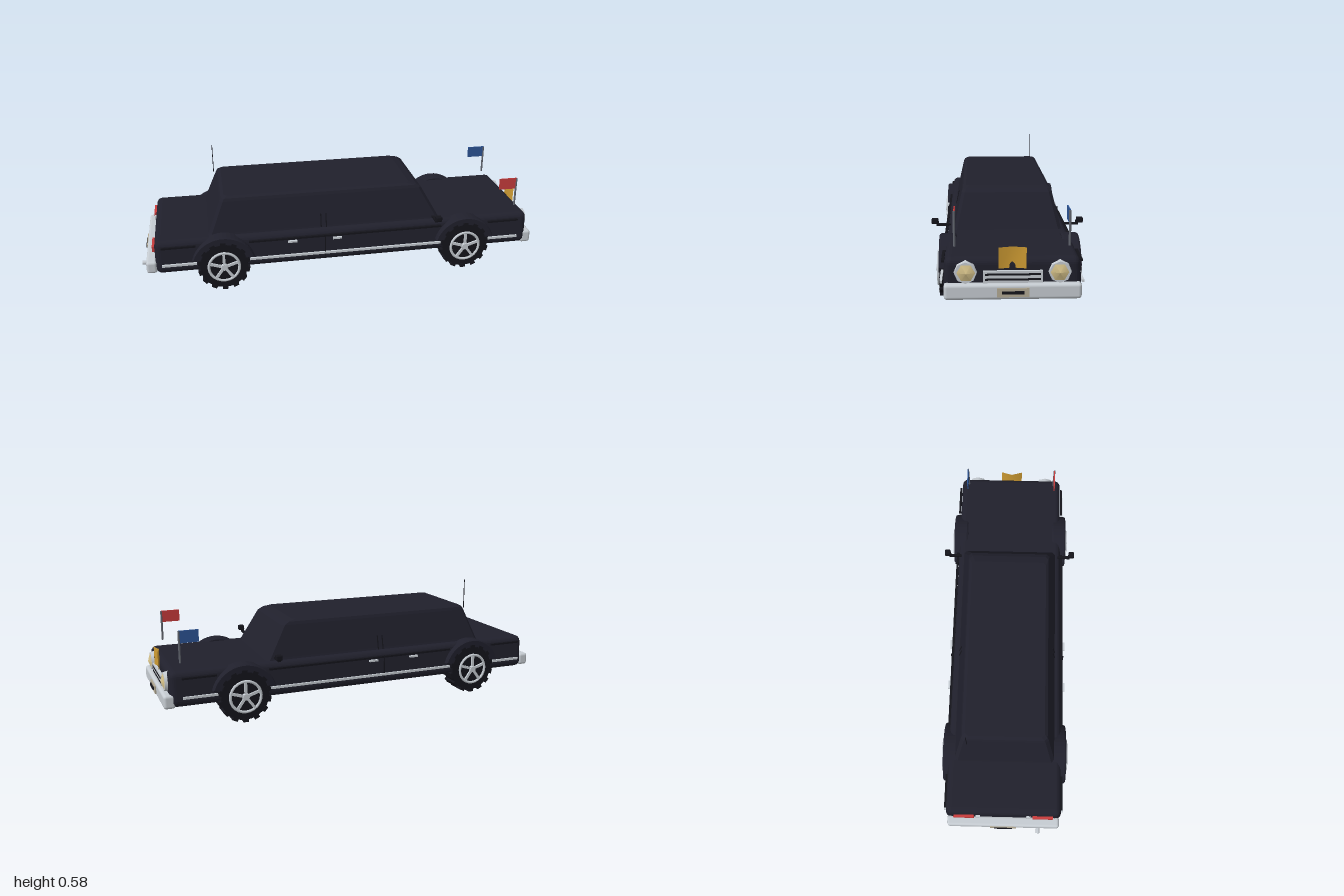
import * as THREE from 'three';
import { RoundedBoxGeometry } from 'three/addons/geometries/RoundedBoxGeometry.js';

const mat = (name, color, extra = {}) => {
  const m = new THREE.MeshStandardMaterial({ color, ...extra });
  m.name = name;
  return m;
};

export function createModel() {
  const car = new THREE.Group();
  car.name = 'limousine';
  const paint = mat('bodyPaint', 0x20202c, { flatShading: true });
  const rubber = mat('blackRubber', 0x14141b);
  const chrome = mat('chrome', 0xc6ccd2);
  const steel = mat('steel', 0x62666f);
  const lens = mat('headlightGlass', 0xd6c28a);
  const gold = mat('gold', 0xcf9c33, { side: THREE.DoubleSide });
  const red = mat('red', 0xc93c3c);
  const blue = mat('blue', 0x2c5496);
  const plateMat = mat('plateMetal', 0xb4ab95);

  const add = (name, geo, m, x = 0, y = 0, z = 0, parent = car) => {
    const mesh = new THREE.Mesh(geo, m);
    mesh.name = name;
    mesh.position.set(x, y, z);
    parent.add(mesh);
    return mesh;
  };
  const box = (name, m, x, y, z, w, h, d, parent) =>
    add(name, new THREE.BoxGeometry(w, h, d), m, x, y, z, parent);

  // Lower body: rounded box, narrowed slightly at the nose, tail and shoulders
  const bodyGeo = new RoundedBoxGeometry(1.885, 0.166, 0.59, 3, 0.03);
  const p = bodyGeo.attributes.position;
  for (let i = 0; i < p.count; i++) {
    let k = 1;
    if (p.getX(i) > 0.9) k *= 0.965;
    if (p.getX(i) < -0.9) k *= 0.985;
    if (p.getY(i) > 0.05) k *= 0.975;
    p.setZ(i, p.getZ(i) * k);
  }
  bodyGeo.computeVertexNormals();
  add('body', bodyGeo, paint, 0.012, 0.183, 0);

  // Cabin: chamfered rectangles stacked upward [y, rear x, front x, half width]
  const levels = [[0.25, -0.68, 0.5, 0.255], [0.275, -0.668, 0.485, 0.247],
    [0.425, -0.607, 0.4, 0.213], [0.439, -0.6, 0.378, 0.207], [0.448, -0.585, 0.34, 0.193]];
  const pos = [], idx = [], c = 0.015;
  for (const [y, a, b, w] of levels) {
    for (const [x, z] of [[a, w - c], [a + c, w], [b - c, w], [b, w - c],
      [b, c - w], [b - c, -w], [a + c, -w], [a, c - w]]) pos.push(x, y, z);
  }
  for (let l = 0; l < levels.length - 1; l++) {
    for (let i = 0; i < 8; i++) {
      const a = l * 8 + i, b = l * 8 + (i + 1) % 8;
      idx.push(a, b, b + 8, a, b + 8, a + 8);
    }
  }
  const top = (levels.length - 1) * 8;
  for (let i = 1; i < 7; i++) idx.push(top, top + i, top + i + 1);
  const cabinGeo = new THREE.BufferGeometry();
  cabinGeo.setAttribute('position', new THREE.Float32BufferAttribute(pos, 3));
  cabinGeo.setIndex(idx);
  cabinGeo.computeVertexNormals();
  add('cabin', cabinGeo, paint);

  // Wheel: tyre, tread blocks, rim ring, hub and five spokes, outer face on +z
  const wheel = (name, x, side) => {
    const g = new THREE.Group();
    g.name = name;
    const tyre = add('tyre', new THREE.CylinderGeometry(0.115, 0.115, 0.09, 24), rubber, 0, 0, 0, g);
    tyre.rotation.x = Math.PI / 2;
    for (let i = 0; i < 14; i++) {
      const a = i / 14 * Math.PI * 2;
      const lug = box('treadBlock', rubber, Math.sin(a) * 0.117, -Math.cos(a) * 0.117, 0, 0.026, 0.018, 0.094, g);
      lug.rotation.z = a;
    }
    add('rimRing', new THREE.TorusGeometry(0.074, 0.007, 6, 24), chrome, 0, 0, 0.051, g);
    add('rimBack', new THREE.CylinderGeometry(0.07, 0.07, 0.006, 20), rubber, 0, 0, 0.045, g).rotation.x = Math.PI / 2;
    add('hub', new THREE.CylinderGeometry(0.016, 0.02, 0.02, 10), chrome, 0, 0, 0.052, g).rotation.x = Math.PI / 2;
    add('innerRim', new THREE.CylinderGeometry(0.065, 0.065, 0.004, 20), steel, 0, 0, -0.046, g).rotation.x = Math.PI / 2;
    for (let i = 0; i < 5; i++) {
      const a = i / 5 * Math.PI * 2 + Math.PI / 2;
      const spoke = box('spoke', chrome, Math.cos(a) * 0.043, Math.sin(a) * 0.043, 0.052, 0.06, 0.013, 0.01, g);
      spoke.rotation.z = a;
    }
    g.position.set(x, 0.126, side * 0.263);
    if (side < 0) g.rotation.y = Math.PI;
    car.add(g);
  };

  // Wheel arch flare: part ring extruded sideways
  const arch = new THREE.Shape();
  arch.absarc(0, 0, 0.152, 0.32, Math.PI - 0.32, false);
  arch.absarc(0, 0, 0.12, Math.PI - 0.32, 0.32, true);
  arch.closePath();
  const archGeo = new THREE.ExtrudeGeometry(arch, {
    depth: 0.06, bevelEnabled: true, bevelSize: 0.005, bevelThickness: 0.008, bevelSegments: 1, curveSegments: 10,
  });
  archGeo.translate(0, 0, -0.03);

  // Parts repeated on both sides
  for (const s of [1, -1]) {
    const label = s > 0 ? 'left' : 'right';
    for (const [end, x] of [['front', 0.614], ['rear', -0.606]]) {
      wheel(`${label}${end}Wheel`, x, s);
      add('wheelArch', archGeo, paint, x, 0.122, s * 0.271);
    }
    // Chrome side strip and dark crease strip, broken at the wheels
    for (const [a, b] of [[-0.9, -0.735], [-0.48, 0.49], [0.74, 0.9]]) {
      box('chromeStrip', chrome, (a + b) / 2, 0.148, s * 0.295, b - a, 0.011, 0.01);
      box('creaseStrip', rubber, (a + b) / 2, 0.237, s * 0.286, b - a, 0.009, 0.012);
    }
    // Doors
    box('doorSeam', rubber, -0.105, 0.185, s * 0.294, 0.004, 0.12, 0.006);
    for (const x of [-0.118, -0.092]) {
      box('windowPost', rubber, x, 0.3, s * 0.241, 0.005, 0.07, 0.006).rotation.x = -s * 0.22;
    }
    for (const x of [-0.268, -0.045]) box('doorHandle', chrome, x, 0.225, s * 0.297, 0.045, 0.009, 0.012);
    // Mirrors
    box('mirrorArm', rubber, 0.452, 0.284, s * 0.297, 0.014, 0.009, 0.065);
    box('mirrorStem', rubber, 0.454, 0.291, s * 0.325, 0.012, 0.02, 0.012);
    add('mirrorHead', new RoundedBoxGeometry(0.03, 0.025, 0.03, 2, 0.005), rubber, 0.458, 0.303, s * 0.337);
    // Headlights
    const ring = add('headlightRing', new THREE.CylinderGeometry(0.045, 0.05, 0.024, 8), chrome, 0.956, 0.207, s * 0.192);
    ring.rotation.z = -Math.PI / 2;
    const lamp = add('headlight', new THREE.ConeGeometry(0.041, 0.014, 6), lens, 0.974, 0.207, s * 0.19);
    lamp.rotation.z = -Math.PI / 2;
    // Tail and reversing lights
    box('tailLight', red, -0.934, 0.218, s * 0.195, 0.018, 0.028, 0.1);
    box('reversingLight', chrome, -0.934, 0.214, s * 0.125, 0.014, 0.02, 0.022);
    // Flags on the front wings
    add('flagPole', new THREE.CylinderGeometry(0.005, 0.005, 0.148, 8), steel, 0.895, 0.373, s * 0.237);
    box('flag', s > 0 ? red : blue, 0.85, 0.42, s * 0.237, 0.09, 0.058, 0.005);
  }

  // Bumpers
  add('frontBumper', new RoundedBoxGeometry(0.055, 0.066, 0.56, 2, 0.014), chrome, 0.957, 0.13, 0);
  add('rearBumper', new RoundedBoxGeometry(0.052, 0.062, 0.56, 2, 0.014), chrome, -0.95, 0.134, 0);

  // Number plates without markings
  box('frontPlate', plateMat, 0.987, 0.13, 0, 0.008, 0.037, 0.13);
  box('frontPlateBar', rubber, 0.994, 0.131, 0, 0.008, 0.011, 0.09);
  box('rearPlate', plateMat, -0.977, 0.134, 0, 0.006, 0.037, 0.13);
  box('rearPlateBar', rubber, -0.982, 0.134, 0, 0.006, 0.011, 0.09);

  // Grille with two slots
  box('grille', chrome, 0.957, 0.189, 0, 0.022, 0.05, 0.242);
  for (const y of [0.179, 0.2]) box('grilleSlot', rubber, 0.968, y, 0, 0.003, 0.008, 0.226);

  // Folded gold ornament above the grille
  const fold = new THREE.PlaneGeometry(0.114, 0.088, 2, 1);
  const f = fold.attributes.position;
  for (let i = 0; i < f.count; i++) if (Math.abs(f.getX(i)) < 0.01) f.setZ(i, -0.016);
  fold.computeVertexNormals();
  add('hoodOrnament', fold, gold, 0.967, 0.268, 0.002).rotation.y = Math.PI / 2;

  // Roof aerial and exhaust pipe
  add('aerial', new THREE.CylinderGeometry(0.002, 0.002, 0.15, 6), rubber, -0.62, 0.502, -0.182);
  add('exhaust', new THREE.CylinderGeometry(0.01, 0.01, 0.09, 10), chrome, -0.955, 0.113, 0.175).rotation.z = Math.PI / 2;

  return car;
}
